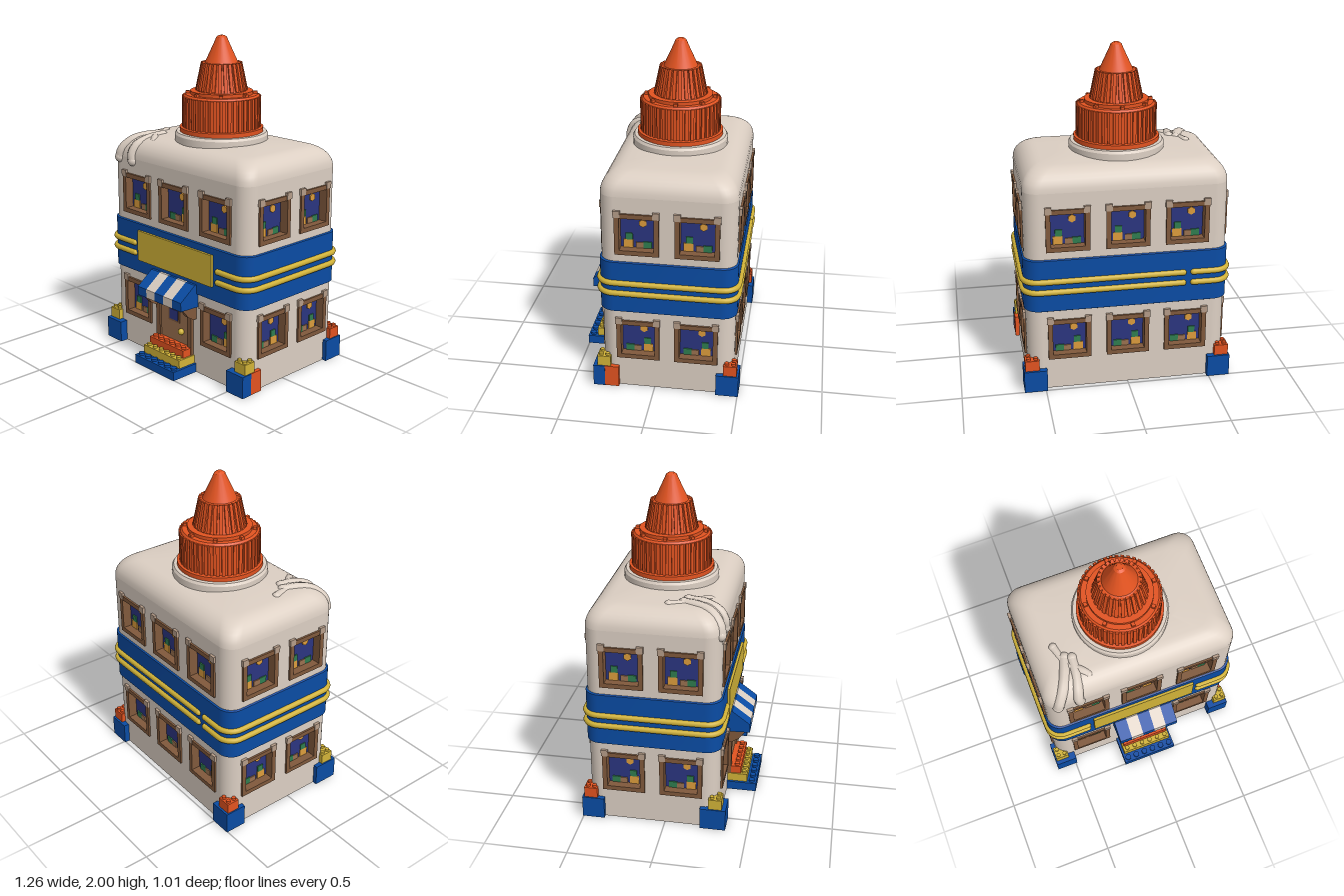
import * as THREE from 'three';
import { toCreasedNormals } from 'three/addons/utils/BufferGeometryUtils.js';

const mat = (name, color, side = THREE.FrontSide) => {
  const m = new THREE.MeshStandardMaterial({ color, side });
  m.name = name;
  return m;
};

// Building plan: a rounded rectangle
const HX = 0.6, HZ = 0.395, CZ = -0.075, R = 0.09, EAVE = 1.24, TOP = 1.38;
const SX = [1, 1, -1, -1], SZ = [1, -1, -1, 1];

// Points round one plan corner, pushed inwards by inset
function corner(k, inset, y, n = 8) {
  const pts = [];
  for (let i = 0; i <= n; i++) {
    const a = (k + i / n) * Math.PI / 2;
    pts.push(new THREE.Vector3(SX[k] * (HX - inset - R) + R * Math.sin(a), y,
      CZ + SZ[k] * (HZ - inset - R) + R * Math.cos(a)));
  }
  return pts;
}

// Surface through stacked plan outlines given as [y, inset]
function loft(levels, capTop, capBottom) {
  const rings = levels.map(([y, inset]) => [0, 1, 2, 3].flatMap(k => corner(k, inset, y)));
  const n = rings[0].length, pos = [], idx = [];
  rings.flat().forEach(p => pos.push(p.x, p.y, p.z));
  for (let j = 0; j < rings.length - 1; j++) for (let i = 0; i < n; i++) {
    const a = j * n + i, b = j * n + (i + 1) % n;
    idx.push(a, b, b + n, a, b + n, a + n);
  }
  const last = (rings.length - 1) * n;
  for (let i = 1; i < n - 1; i++) {
    if (capTop) idx.push(last, last + i, last + i + 1);
    if (capBottom) idx.push(0, i + 1, i);
  }
  const g = new THREE.BufferGeometry();
  g.setAttribute('position', new THREE.Float32BufferAttribute(pos, 3));
  g.setIndex(idx);
  return toCreasedNormals(g, 0.6);
}

function rectShape(x0, x1, y0, y1, Type = THREE.Shape) {
  return new Type([[x0, y0], [x1, y0], [x1, y1], [x0, y1]].map(p => new THREE.Vector2(...p)));
}

export function createModel() {
  const M = {
    cream: mat('cream', 0xdccfc3, THREE.DoubleSide), orange: mat('orange', 0xe25320),
    blue: mat('blue', 0x0a4ca4), yellow: mat('yellow', 0xd2b338),
    wood: mat('frame wood', 0x80593c), door: mat('door wood', 0x9a7150),
    glass: mat('night glass', 0x2b3580), green: mat('green', 0x2f7d4f),
    amber: mat('amber', 0xdc9c3c), tan: mat('tan', 0xb59c88)
  };
  const model = new THREE.Group();
  const add = (name, geo, m, x = 0, y = 0, z = 0, parent = model) => {
    const mesh = new THREE.Mesh(geo, m);
    mesh.name = name;
    mesh.position.set(x, y, z);
    parent.add(mesh);
    return mesh;
  };
  const box = (name, m, x0, x1, y0, y1, z0, z1, parent = model) =>
    add(name, new THREE.BoxGeometry(x1 - x0, y1 - y0, z1 - z0), m,
      (x0 + x1) / 2, (y0 + y1) / 2, (z0 + z1) / 2, parent);

  // Window: deep frame, recessed glass and a lit shelf scene
  let count = 0;
  const addWindow = (x, y, parent) => {
    const w = new THREE.Group();
    w.name = 'window';
    w.position.set(x, y, 0);
    parent.add(w);
    const s = rectShape(-0.128, 0.128, -0.128, 0.128);
    s.holes.push(rectShape(-0.1, 0.1, -0.1, 0.1, THREE.Path));
    add('windowFrame', new THREE.ExtrudeGeometry(s, { depth: 0.062, bevelEnabled: false }), M.wood, 0, 0, -0.05, w);
    box('glass', M.glass, -0.11, 0.11, -0.11, 0.11, -0.052, -0.044, w);
    for (const t of [-1, 1]) box('frameClip', M.tan, t * 0.113 - 0.02, t * 0.113 + 0.02, 0.105, 0.145, 0, 0.016, w);
    const f = count++ % 2 ? -1 : 1;
    const item = (n, m, cx, hw, y0, y1) => box(n, m, f * cx - hw, f * cx + hw, y0, y1, -0.045, -0.037, w);
    item('shelfBoxAmber', M.amber, -0.055, 0.028, -0.1, -0.05);
    item('shelfPlant', M.green, -0.05, 0.02, -0.05, -0.01);
    item('shelfBoxWood', M.door, 0.01, 0.022, -0.1, -0.065);
    item('shelfBoxGreen', M.green, 0.055, 0.025, -0.1, -0.06);
    const lamp = add('lamp', new THREE.CylinderGeometry(0.024, 0.024, 0.008, 6), M.amber, 0.03, 0.055, -0.041, w);
    lamp.rotation.x = Math.PI / 2;
  };

  // Four flat walls with window openings
  const LOW = 0.325, HIGH = 1.015;
  const front = [[-0.355, LOW], [0.355, LOW], [-0.35, HIGH], [-0.01, HIGH], [0.35, HIGH]];
  const back = [-0.35, 0, 0.35].flatMap(x => [[x, LOW], [x, HIGH]]);
  const side = [-0.173, 0.173].flatMap(x => [[x, LOW], [x, HIGH]]);
  const walls = [['frontWall', 0, HX, HZ, front], ['leftWall', 1, HZ, HX, side],
    ['backWall', 2, HX, HZ, back], ['rightWall', 3, HZ, HX, side]];
  for (const [name, k, half, dist, windows] of walls) {
    const g = new THREE.Group();
    g.name = name;
    g.rotation.y = k * Math.PI / 2;
    g.position.set(Math.sin(g.rotation.y) * dist, 0, CZ + Math.cos(g.rotation.y) * dist);
    model.add(g);
    const s = rectShape(-half + R, half - R, 0, EAVE);
    windows.forEach(([x, y]) => s.holes.push(rectShape(x - 0.118, x + 0.118, y - 0.118, y + 0.118, THREE.Path)));
    add('wallPanel', new THREE.ShapeGeometry(s), M.cream, 0, 0, 0, g);
    windows.forEach(([x, y]) => addWindow(x, y, g));
    add('wallCorner', new THREE.CylinderGeometry(R, R, EAVE, 8, 1, true, 0, Math.PI / 2),
      M.cream, half - R, EAVE / 2, -R, g);
  }

  // Soft roof and flat floor
  const roof = [];
  for (let i = 0; i <= 8; i++) {
    const a = i / 8 * Math.PI / 2;
    roof.push([EAVE + 0.13 * Math.sin(a), 0.13 * (1 - Math.cos(a))]);
  }
  roof.push([TOP, 0.25]);
  add('roof', loft(roof, true, false), M.cream);
  add('floor', loft([[0, 0.002], [0.01, 0.002]], false, true), M.cream);

  // Blue band with a pair of raised yellow stripes
  add('blueBand', loft([[0.51, -0.001], [0.515, -0.01], [0.835, -0.01], [0.84, -0.001]], false, false), M.blue);
  const zf = CZ + HZ + 0.012, zb = CZ - HZ - 0.012;
  for (const y of [0.637, 0.703]) {
    const runs = [
      [new THREE.Vector3(0.38, y, zf), ...corner(0, -0.012, y), ...corner(1, -0.012, y), new THREE.Vector3(-0.33, y, zb)],
      [new THREE.Vector3(-0.39, y, zb), ...corner(2, -0.012, y), ...corner(3, -0.012, y), new THREE.Vector3(-0.37, y, zf)]];
    for (const pts of runs) {
      add('yellowStripe', new THREE.TubeGeometry(new THREE.CatmullRomCurve3(pts), 120, 0.018, 8), M.yellow);
      for (const p of [pts[0], pts.at(-1)])
        add('stripeEnd', new THREE.SphereGeometry(0.018, 10, 8), M.yellow, p.x, p.y, p.z);
    }
  }
  box('signBoard', M.yellow, -0.33, 0.34, 0.6, 0.795, 0.32, 0.345);

  // Neck and screw cap
  const lathe = (name, m, pts, n = 48) => add(name, toCreasedNormals(
    new THREE.LatheGeometry(pts.map(p => new THREE.Vector2(...p)), n), 0.5), m, 0, 0, -0.065);
  lathe('neck', M.cream, [[0.285, 1.35], [0.285, 1.41], [0.275, 1.425], [0.2, 1.43]]);
  lathe('cap', M.orange, [[0.2, 1.425], [0.255, 1.425], [0.255, 1.452], [0.23, 1.455], [0.23, 1.64],
    [0.22, 1.652], [0.19, 1.652], [0.19, 1.672], [0.152, 1.672], [0.145, 1.69], [0.112, 1.835],
    [0.1, 1.84], [0.042, 1.965], [0.032, 1.99], [0.018, 2], [0, 2]]);
  const ribs = (name, n, r0, y0, r1, y1, w, d) => {
    for (let i = 0; i < n; i++) {
      const spin = new THREE.Group();
      spin.name = name;
      spin.position.z = -0.065;
      spin.rotation.y = i / n * Math.PI * 2;
      model.add(spin);
      const rib = add(name, new THREE.BoxGeometry(w, Math.hypot(y1 - y0, r1 - r0), d), M.orange,
        0, (y0 + y1) / 2, (r0 + r1) / 2, spin);
      rib.rotation.x = Math.atan2(r1 - r0, y1 - y0);
    }
  };
  ribs('lowerCapRib', 44, 0.232, 1.455, 0.232, 1.64, 0.02, 0.016);
  ribs('upperCapRib', 26, 0.15, 1.675, 0.115, 1.84, 0.02, 0.018);
  ribs('shoulderBump', 8, 0.205, 1.65, 0.205, 1.668, 0.022, 0.022);

  // Drips running over the front roof edge
  const drips = [
    [0.034, [[-0.4, 1.355, 0.08], [-0.43, 1.355, 0.17], [-0.47, 1.335, 0.25], [-0.51, 1.28, 0.3], [-0.525, 1.23, 0.308]]],
    [0.032, [[-0.36, 1.36, 0.1], [-0.37, 1.352, 0.2], [-0.39, 1.32, 0.28], [-0.4, 1.27, 0.312], [-0.395, 1.225, 0.315]]],
    [0.026, [[-0.44, 1.36, 0], [-0.4, 1.355, 0.12], [-0.33, 1.357, 0.19], [-0.3, 1.345, 0.22]]]];
  for (const [r, path] of drips) {
    const pts = path.map(p => new THREE.Vector3(...p));
    add('glueDrip', new THREE.TubeGeometry(new THREE.CatmullRomCurve3(pts), 24, r, 10), M.cream);
    for (const p of [pts[0], pts.at(-1)]) add('dripEnd', new THREE.SphereGeometry(r * 1.04, 12, 10), M.cream, p.x, p.y, p.z);
  }

  // Studded toy bricks: corner feet and doorsteps
  const brick = (name, m, x0, x1, y0, y1, z0, z1, nx, nz, sz0 = z0) => {
    box(name, m, x0, x1, y0, y1, z0, z1);
    const dx = (x1 - x0) / nx, dz = (z1 - sz0) / nz, r = Math.min(dx, dz) * 0.32;
    for (let i = 0; i < nx; i++) for (let j = 0; j < nz; j++)
      add('stud', new THREE.CylinderGeometry(r, r, 0.014, 12), m, x0 + (i + 0.5) * dx, y1 + 0.007, sz0 + (j + 0.5) * dz);
  };
  for (const s of [-1, 1]) {
    const span = (a, b) => s > 0 ? [a, b] : [-b, -a];
    box('frontFoot', M.blue, ...span(0.49, 0.628), 0, 0.135, s > 0 ? 0.3 : 0.215, 0.37);
    if (s > 0) box('frontFootSide', M.orange, 0.5, 0.626, 0, 0.135, 0.215, 0.3);
    brick('frontFootBrick', M.yellow, ...span(0.535, 0.62), 0.135, 0.2, 0.265, 0.345, 2, 2);
    box('backFoot', M.blue, ...span(0.49, 0.628), 0, 0.135, -0.505, -0.37);
    brick('backFootBrick', M.orange, ...span(0.535, 0.62), 0.135, 0.2, -0.492, -0.412, 2, 2);
  }
  brick('bottomStep', M.blue, -0.18, 0.18, 0, 0.055, 0.31, 0.505, 6, 1, 0.445);
  brick('middleStep', M.yellow, -0.165, 0.165, 0.055, 0.107, 0.31, 0.445, 6, 1, 0.4);
  brick('topStep', M.orange, -0.155, 0.155, 0.107, 0.155, 0.31, 0.405, 6, 1, 0.35);

  // Door with frame, little pane and knob
  box('doorPanel', M.door, -0.13, 0.125, 0.1, 0.415, 0.31, 0.33);
  for (const x of [-0.145, 0.14]) box('doorPost', M.wood, x - 0.018, x + 0.018, 0.1, 0.43, 0.31, 0.342);
  box('doorLintel', M.wood, -0.163, 0.158, 0.41, 0.435, 0.31, 0.342);
  box('paneFrame', M.wood, -0.055, 0.045, 0.28, 0.37, 0.328, 0.335);
  box('doorPane', M.glass, -0.043, 0.033, 0.292, 0.358, 0.334, 0.338);
  add('doorKnob', new THREE.SphereGeometry(0.02, 14, 10), M.yellow, 0.068, 0.235, 0.342);

  // Striped awning on two wooden brackets, profiles drawn as (z, y)
  const prism = (name, m, pts, xMid, width) => {
    const g = new THREE.ExtrudeGeometry(new THREE.Shape(pts.map(p => new THREE.Vector2(...p))), { depth: width, bevelEnabled: false });
    add(name, g, m, xMid + width / 2).rotation.y = -Math.PI / 2;
  };
  for (let i = 0; i < 5; i++)
    prism('awningStripe', i % 2 ? M.cream : M.blue,
      [[0.315, 0.43], [0.457, 0.435], [0.457, 0.49], [0.345, 0.573], [0.315, 0.573]], -0.158 + i * 0.079, 0.079);
  for (const x of [-0.17, 0.17])
    prism('awningBracket', M.wood, [[0.315, 0.35], [0.345, 0.35], [0.385, 0.375], [0.43, 0.43], [0.315, 0.43]], x, 0.03);

  return model;
}
